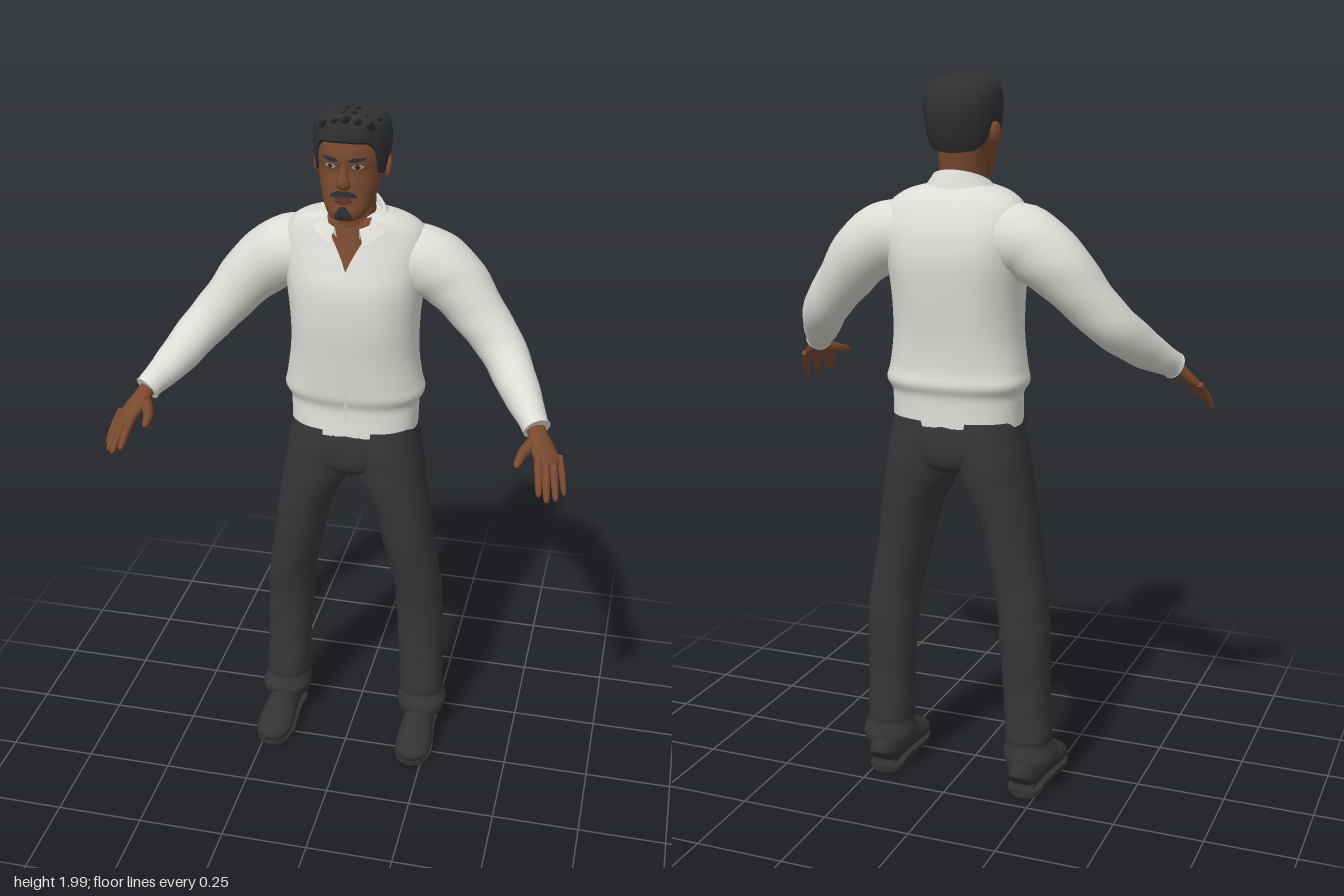
import * as THREE from 'three';

const paint = (name, color, side = THREE.FrontSide) => {
  const m = new THREE.MeshStandardMaterial({ color, side });
  m.name = name;
  return m;
};

// Catmull-Rom smoothing of number rows
function smooth(rows, k = 5) {
  const out = [], at = i => rows[Math.min(Math.max(i, 0), rows.length - 1)];
  for (let i = 0; i < rows.length - 1; i++) {
    for (let s = 0; s < k; s++) {
      const t = s / k, [a, b, c, d] = [at(i - 1), at(i), at(i + 1), at(i + 2)];
      out.push(b.map((v, j) => v + 0.5 * t * (c[j] - a[j] + t * (2 * a[j] - 5 * v + 4 * c[j] - d[j]
        + t * (3 * (v - c[j]) + d[j] - a[j])))));
    }
  }
  out.push(rows[rows.length - 1]);
  return out;
}

// Grid of points f(row, column) as a surface, optionally closed around
function grid(nr, nc, f, closed = false, caps = false) {
  const pos = [], idx = [], cols = closed ? nc : nc + 1;
  for (let i = 0; i <= nr; i++) for (let j = 0; j < cols; j++) pos.push(...f(i, j));
  for (let i = 0; i < nr; i++) for (let j = 0; j < nc; j++) {
    const a = i * cols + j, b = i * cols + (j + 1) % cols;
    idx.push(a, b, b + cols, a, b + cols, a + cols);
  }
  if (caps) for (const end of [0, nr]) {
    const base = pos.length / 3, mid = [0, 0, 0];
    for (let j = 0; j < nc; j++) {
      const p = f(end, j);
      pos.push(...p);
      p.forEach((v, k) => { mid[k] += v / nc; });
    }
    pos.push(...mid);
    for (let j = 0; j < nc; j++) {
      const a = base + j, b = base + (j + 1) % nc;
      idx.push(...(end ? [a, b, base + nc] : [b, a, base + nc]));
    }
  }
  const g = new THREE.BufferGeometry();
  g.setAttribute('position', new THREE.Float32BufferAttribute(pos, 3));
  g.setIndex(idx);
  g.computeVertexNormals();
  return g;
}

const sup = (v, p) => Math.sign(v) * Math.abs(v) ** (2 / p);

// Horizontal cross-sections: [y, half width, front z, back z, centre x]
function stack(rows, { n = 36, p = 2.2, fold = () => 1 } = {}) {
  return grid(rows.length - 1, n, (i, j) => {
    const [y, w, zf, zb, cx = 0] = rows[i], a = j / n * Math.PI * 2, m = fold(a, y);
    return [cx + w * m * sup(Math.sin(a), p), y, (zf + zb) / 2 + (zf - zb) / 2 * m * sup(Math.cos(a), p)];
  }, true, true);
}

// Elliptical sections swept along a path: [x, y, z, side radius, other radius]
function sweep(pts, hint = [1, 0, 0], n = 16, k = 5, fold = () => 1) {
  const rows = smooth(pts, k), V = r => new THREE.Vector3(r[0], r[1], r[2]);
  const frames = rows.map((r, i) => {
    const T = V(rows[Math.min(i + 1, rows.length - 1)]).sub(V(rows[Math.max(i - 1, 0)])).normalize();
    const N = new THREE.Vector3(...hint).cross(T).normalize();
    return { S: T.clone().cross(N), N };
  });
  return grid(rows.length - 1, n, (i, j) => {
    const a = j / n * Math.PI * 2, r = rows[i], m = fold(a, i);
    return V(r).addScaledVector(frames[i].S, r[3] * m * Math.sin(a))
      .addScaledVector(frames[i].N, (r[4] ?? r[3]) * m * Math.cos(a)).toArray();
  }, true, true);
}

// Interpolated section at height y, and front surface depth there
function sectionAt(rows, y) {
  let i = 0;
  while (i < rows.length - 2 && rows[i + 1][0] < y) i++;
  const t = THREE.MathUtils.clamp((y - rows[i][0]) / (rows[i + 1][0] - rows[i][0]), 0, 1);
  return rows[i].map((v, k) => v + (rows[i + 1][k] - v) * t);
}
function frontZ(rows, x, y, p) {
  const [, w, zf, zb] = sectionAt(rows, y);
  return (zf + zb) / 2 + (zf - zb) / 2 * Math.max(0, 1 - Math.abs(x / w) ** p) ** (1 / p);
}

// Thin painted patch following a front surface; edge rows are [y, x0, x1]
function patch(rows, edge, lift, p = 2.2) {
  const e = smooth(edge, 4);
  return grid(e.length - 1, 8, (i, j) => {
    const [y, a, b] = e[i], x = a + (b - a) * j / 8;
    return [x, y, frontZ(rows, x, y, p) + lift];
  });
}

export function createModel() {
  const root = new THREE.Group();
  const shirt = paint('white shirt', 0xdedcd7, THREE.DoubleSide), skin = paint('brown skin', 0x78492f);
  const cloth = paint('dark trousers', 0x363638), leather = paint('shoe leather', 0x333334);
  const hairMat = paint('black hair', 0x2e3032, THREE.DoubleSide);
  const white = paint('eye white', 0xb9aca0), lip = paint('lips', 0x5f3428);
  const add = (name, geo, mat) => {
    const m = new THREE.Mesh(geo, mat);
    m.name = name;
    root.add(m);
    return m;
  };

  // Shirt body, bloused above the hem
  const torso = smooth([[1.065, .18, -.002, -.247], [1.12, .181, -.008, -.245], [1.15, .183, -.008, -.247],
    [1.18, .198, .002, -.258], [1.22, .19, .006, -.252], [1.3, .179, .013, -.255], [1.4, .179, .022, -.267],
    [1.5, .19, .018, -.274], [1.57, .2, -.004, -.264], [1.62, .198, -.022, -.245], [1.66, .178, -.034, -.222],
    [1.688, .135, -.04, -.195], [1.705, .07, -.045, -.165]]);
  add('shirtBody', stack(torso, { n: 56, p: 2.4,
    fold: (a, y) => 1 + .008 * Math.sin(5 * a + 22 * y) * Math.sin(3 * a) ** 2
      - .03 * Math.max(0, -Math.cos(a)) ** 24 * Math.max(0, Math.sin((y - 1.2) * 7)) }), shirt);
  add('placket', patch(torso, [[1.075, -.004, .004], [1.2, -.004, .004], [1.4, -.004, .004], [1.565, -.003, .003]], .002, 2.4), shirt);
  add('openNeck', patch(torso, [[1.563, -.001, .001], [1.6, -.018, .018], [1.65, -.045, .045], [1.7, -.06, .06]], .004, 2.4), skin);

  // Collar: stand, fold line, then flap
  add('collar', grid(6, 40, (i, j) => {
    const a = .42 + j / 40 * (Math.PI * 2 - .84), c = Math.cos(a), f = Math.max(0, c);
    const stand = [.073, .072, 1.665 - .02 * c], top = [.08, .08, 1.708 - .034 * c];
    const flap = [.112, .1, 1.677 - .008 * c - .045 * f ** 3];
    const [A, B, t] = i < 3 ? [stand, top, i / 3] : [top, flap, (i - 3) / 3];
    const [rx, rz, y] = A.map((v, k) => v + (B[k] - v) * t);
    return [rx * Math.sin(a), y, -.092 + rz * c];
  }), shirt);

  // Trouser seat joining both legs
  add('trouserSeat', stack(smooth([[.925, .05, -.045, -.19], [.95, .12, -.01, -.235], [1, .182, .002, -.25],
    [1.05, .182, .002, -.25], [1.085, .176, -.008, -.243]])), cloth);

  for (const s of [1, -1]) {
    const side = s > 0 ? 'left' : 'right';
    const mx = rows => rows.map(([x, ...r]) => [x * s, ...r]);

    // Sleeve
    add(side + 'Sleeve', sweep(mx([[.1, 1.56, -.14, .09], [.19, 1.56, -.14, .096], [.275, 1.505, -.136, .088],
      [.355, 1.415, -.115, .072], [.425, 1.335, -.075, .063], [.482, 1.268, .01, .053],
      [.528, 1.222, .085, .038], [.54, 1.21, .104, .038]]), [0, 0, 1], 24, 6,
      (a, i) => 1 + .025 * Math.sin(i * .9 + 2 * a) * Math.sin(a + i * .3)), shirt);

    // Hand with four fingers and a thumb
    const across = [.052 * s, -.01, -.045];
    add(side + 'Palm', sweep(mx([[.525, 1.225, .08, .026, .022], [.545, 1.2, .115, .028, .02],
      [.565, 1.17, .145, .038, .018], [.582, 1.15, .168, .037, .014], [.588, 1.142, .176, .028, .008]]), across), skin);
    [[.57, 1.094, .26, .0105], [.592, 1.084, .268, .011], [.613, 1.076, .24, .0105], [.631, 1.073, .2, .009]].forEach(([x, y, z, r], i) => {
      const b = [.556 + i * .018, 1.156 - i * .004, .186 - i * .014];
      const lerp = (t, rad, up = 0) => [b[0] + (x - b[0]) * t, b[1] + (y - b[1]) * t + up, b[2] + (z - b[2]) * t, rad];
      add(side + 'Finger' + (i + 1), sweep(mx([lerp(-.15, r), lerp(.4, r, .006), lerp(.8, r * .85, .003),
        lerp(.96, r * .6), lerp(1, r * .15)]), across, 10, 3), skin);
    });
    add(side + 'Thumb', sweep(mx([[.545, 1.195, .115, .014], [.522, 1.176, .155, .016], [.51, 1.166, .19, .0125],
      [.506, 1.16, .222, .009], [.505, 1.158, .231, .002]]), across, 10, 3), skin);

    // Trouser leg, creased at the ankle
    add(side + 'Leg', stack(smooth([[.085, .069, -.052, -.203, .217], [.115, .075, -.048, -.207, .216],
      [.15, .064, -.064, -.198, .213], [.18, .066, -.062, -.2, .212], [.3, .066, -.068, -.196, .207],
      [.45, .07, -.064, -.208, .2], [.55, .07, -.045, -.21, .192], [.7, .074, -.02, -.215, .163],
      [.8, .08, -.01, -.226, .144], [.9, .097, 0, -.24, .112], [.96, .1, 0, -.247, .1],
      [1.02, .102, 0, -.248, .087], [1.08, .102, -.008, -.243, .075]].map(r => [...r.slice(0, 4), r[4] * s])),
      { n: 32, fold: (a, y) => 1 + (y < .6 ? .022 : .006) * Math.sin(y * 55 + 2 * s * a) * Math.cos(a + y * 9) }), cloth);

    // Shoe: upper, sole and heel
    const shoe = new THREE.Group();
    shoe.name = side + 'Shoe';
    const upper = [[0, .05, -.2, .028, .04], [0, .062, -.185, .044, .054], [0, .07, -.13, .047, .062], [0, .062, -.07, .047, .054],
      [0, .049, -.01, .053, .041], [0, .039, .04, .053, .031], [0, .033, .073, .04, .025], [0, .027, .088, .012, .012]];
    const outline = new THREE.Shape(new THREE.SplineCurve([[0, -.092], [.042, -.068], [.057, -.02], [.052, .04], [.046, .12],
      [.046, .18], [0, .205], [-.046, .18], [-.046, .12], [-.052, .04], [-.057, -.02], [-.042, -.068], [0, -.092]]
      .map(q => new THREE.Vector2(...q))).getPoints(48));
    const sole = new THREE.ExtrudeGeometry(outline, { depth: .014, bevelEnabled: false }).rotateX(-Math.PI / 2).translate(0, .007, 0);
    const heel = new THREE.CylinderGeometry(.046, .045, .016, 24).scale(1, 1, 1.05).translate(0, .008, -.155);
    const ball = new THREE.CylinderGeometry(.054, .052, .01, 24).scale(1, 1, 1.2).translate(0, .005, .015);
    [['upper', sweep(upper, [1, 0, 0], 24)], ['sole', sole], ['heel', heel], ['ballOfSole', ball]].forEach(([n, g]) => {
      const m = new THREE.Mesh(g, leather);
      m.name = n;
      shoe.add(m);
    });
    shoe.position.x = .219 * s;
    shoe.rotation.y = .03 * s;
    root.add(shoe);
  }

  // Neck and head
  add('neck', stack(smooth([[1.6, .075, -.04, -.17], [1.68, .064, -.032, -.155], [1.73, .06, -.03, -.155], [1.8, .065, -.03, -.165]])), skin);
  const head = smooth([[1.706, .025, .012, -.03], [1.716, .045, .027, -.06], [1.735, .058, .031, -.09], [1.76, .069, .027, -.12],
    [1.8, .08, .024, -.155], [1.84, .087, .018, -.175], [1.87, .089, .024, -.183], [1.92, .09, .016, -.183],
    [1.955, .075, 0, -.165], [1.975, .04, -.03, -.13]]);
  add('head', stack(head), skin);
  add('nose', sweep([[0, 1.798, .014, .012, .008], [0, 1.806, .022, .02, .014], [0, 1.816, .026, .018, .017],
    [0, 1.835, .02, .011, .014], [0, 1.862, .014, .009, .01], [0, 1.875, .012, .006, .006]], [1, 0, 0], 14, 4), skin);

  // Face details
  const diamond = (x, y, w, h) => [[y - h, x - w * .3, x + w * .3], [y, x - w, x + w], [y + h, x - w * .4, x + w * .4]];
  for (const s of [1, -1]) {
    const side = s > 0 ? 'left' : 'right';
    add(side + 'Eye', patch(head, diamond(.036 * s, 1.855, .016, .006), .003), white);
    add(side + 'Iris', patch(head, diamond(.036 * s, 1.855, .007, .006), .0045), hairMat);
    add(side + 'Brow', patch(head, [[1.868, .016, .034], [1.874, .014, .054], [1.88, .028, .058]]
      .map(([y, a, b]) => s > 0 ? [y, a, b] : [y, -b, -a]), .005), hairMat);
    const ear = add(side + 'Ear', new THREE.SphereGeometry(1, 16, 12).scale(.011, .032, .02), skin);
    ear.position.set(.093 * s, 1.832, -.092);
    ear.rotation.set(-.2, .3 * s, 0);
  }
  add('moustache', patch(head, [[1.775, -.036, .036], [1.783, -.034, .034], [1.793, -.014, .014]], .005), hairMat);
  add('lips', patch(head, [[1.757, -.01, .01], [1.765, -.024, .024], [1.774, -.02, .02]], .006), lip);
  add('goatee', patch(head, [[1.716, -.018, .018], [1.727, -.024, .024], [1.74, -.016, .016], [1.752, -.008, .008]], .004), hairMat);

  // Hair cap: lower edge runs from forehead to sideburn, over the ear, to the nape
  const hair = smooth([[1.78, .08, .02, -.17], [1.82, .092, .024, -.19], [1.88, .1, .027, -.203], [1.92, .101, .027, -.202],
    [1.95, .094, .026, -.19], [1.97, .076, .018, -.166], [1.982, .04, -.01, -.125]]);
  const edge = [[0, 1.922], [.6, 1.918], [.85, 1.9], [1.05, 1.83], [1.4, 1.82], [1.5, 1.865], [1.85, 1.868], [2.05, 1.81], [2.4, 1.79], [3.2, 1.783]];
  const hairPoint = (a, t) => {
    const b = Math.abs(Math.atan2(Math.sin(a), Math.cos(a)));
    const y = THREE.MathUtils.lerp(sectionAt(edge, b)[1], 1.982, t);
    const [, w, zf, zb] = sectionAt(hair, y), m = 1 + .014 * Math.sin(17 * a + 6 * t) * t;
    return [w * m * sup(Math.sin(a), 2.2), y, (zf + zb) / 2 + (zf - zb) / 2 * m * sup(Math.cos(a), 2.2)];
  };
  add('hairCap', grid(16, 72, (i, j) => hairPoint(j / 72 * Math.PI * 2, i / 16), true, true), hairMat);

  // Swept tufts on the crown and fringe
  for (let i = 0; i < 13; i++) {
    const u = i % 5 - 2 + (i > 4 ? .4 : 0), row = Math.floor(i / 5);
    const x = u * .027, y = 1.962 - Math.abs(u) * .009 + (row ? .004 : 0), z = .0 - row * .045 - Math.abs(u) * .008;
    add('tuft' + (i + 1), sweep([[x, y - .02, z - .03, .02, .018], [x * 1.05, y + .004, z, .02, .016],
      [x * 1.1 + .003, y + .018, z + .02, .012, .01], [x * 1.1 + .008, y + .028, z + .036, .002, .002]], [1, 0, 0], 8, 3), hairMat);
  }
  return root;
}
